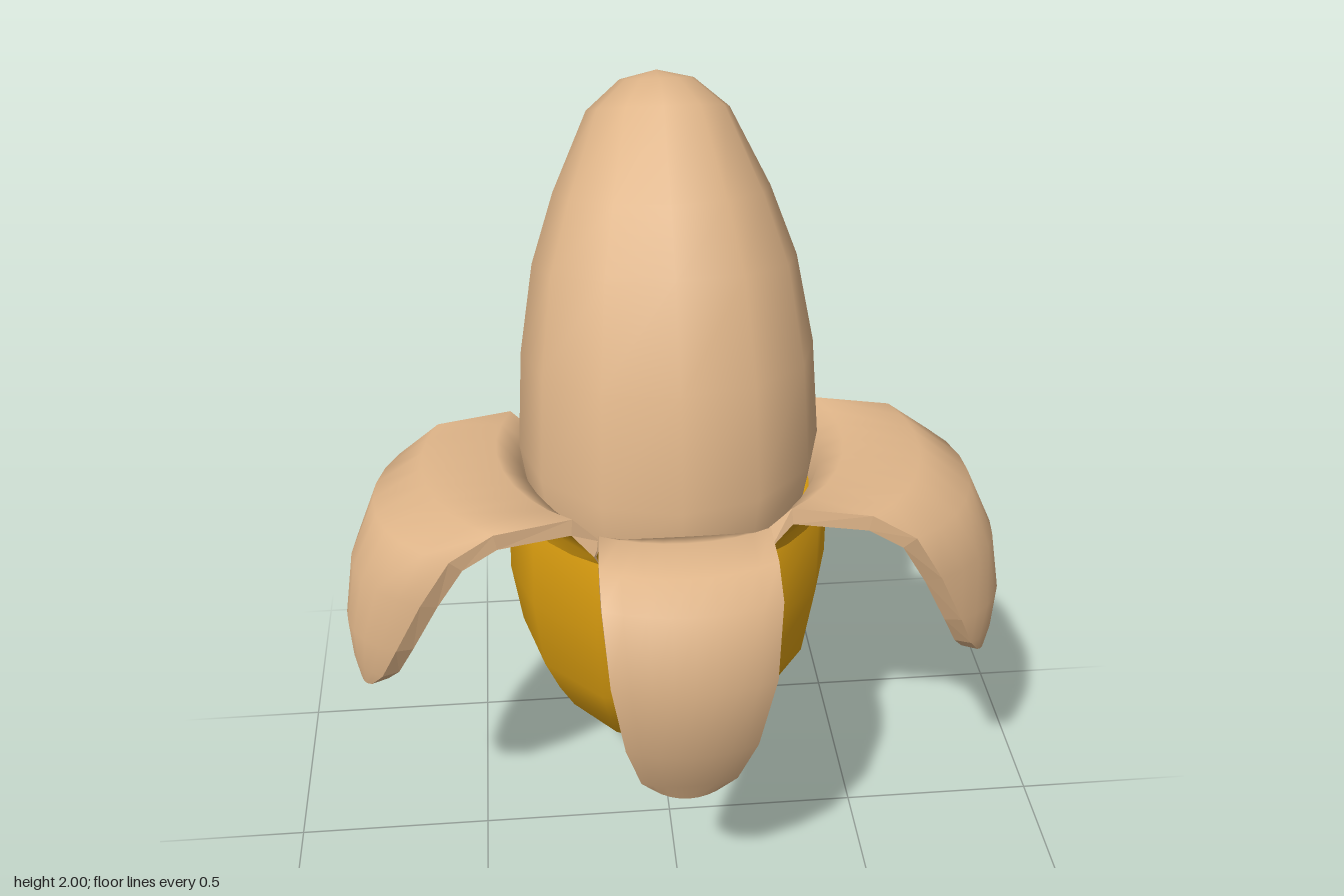
import * as THREE from 'three';

const cream = new THREE.MeshStandardMaterial({ color: 0xdfb589, side: THREE.DoubleSide });
cream.name = 'cream';
const yellow = new THREE.MeshStandardMaterial({ color: 0xdea010, side: THREE.DoubleSide });
yellow.name = 'peelYellow';
const brown = new THREE.MeshStandardMaterial({ color: 0x5e2d24 });
brown.name = 'stemBrown';

// Surface through equal rows of points
function grid(rows, flat = false, wrap = false) {
  const n = rows[0].length, index = [];
  for (let i = 0; i < rows.length - 1; i++) {
    for (let j = 0; j < (wrap ? n : n - 1); j++) {
      const k = (j + 1) % n;
      const a = i * n + j, b = i * n + k, c = (i + 1) * n + k, d = (i + 1) * n + j;
      index.push(a, b, c, a, c, d);
    }
  }
  let geo = new THREE.BufferGeometry();
  geo.setAttribute('position', new THREE.Float32BufferAttribute(rows.flat(2), 3));
  geo.setIndex(index);
  if (flat) geo = geo.toNonIndexed();
  geo.computeVertexNormals();
  return geo;
}

// Tilted oval rings, bottom to top: [frontZ, frontY, backZ, backY, halfWidth]
function loft(rings, flat = false, sides = 12) {
  return grid(rings.map(([fz, fy, bz, by, rx]) =>
    Array.from({ length: sides }, (_, j) => {
      const a = (j / sides) * Math.PI * 2, c = Math.cos(a) / 2;
      return [rx * Math.sin(a), (fy + by) / 2 + (fy - by) * c, (fz + bz) / 2 + (fz - bz) * c];
    })), flat, true);
}

function part(name, geo, mat) {
  const m = new THREE.Mesh(geo, mat);
  m.name = name;
  return m;
}

// Peel flap hanging towards +z; rows: [reach, y, halfWidth, edgeSetback, edgeRise]
function flap(name, rows, halfAngle, turn) {
  const T = 0.04, cols = 8, h = THREE.MathUtils.degToRad(halfAngle);
  const row = (r, y, w, sag, rise) => Array.from({ length: cols + 1 }, (_, j) => {
    const u = (j / cols) * 2 - 1;
    return [w * Math.sin(u * h) / Math.sin(h), y + rise * u * u,
      r - sag * (1 - Math.cos(u * h)) / (1 - Math.cos(h))];
  });
  const top = rows.map(([r, y, w, s, e = 0]) => row(r, y, w, s, e));
  const under = rows.map(([r, y, w, s, e = 0], i) => {
    const p = rows[Math.max(i - 1, 0)], q = rows[Math.min(i + 1, rows.length - 1)];
    let tr = q[0] - p[0], ty = q[1] - p[1];
    if (i === 0) { tr = 0; ty = 1; }
    const l = Math.hypot(tr, ty), nr = (ty / l) * T, ny = (-tr / l) * T;
    const k = 1 + Math.max(nr, 0) / r;
    return row(r + nr, y + ny, w * k, s * k, e);
  });
  // Outline of the flap: up one edge, across the tip, back down the other
  const outline = (g) => [...g.map((r) => r[0]), ...g[g.length - 1].slice(1, -1),
    ...g.map((r) => r[cols]).reverse()];
  const group = new THREE.Group();
  group.name = name;
  group.add(
    part(name + 'Inside', grid([...top].reverse()), cream),
    part(name + 'Skin', grid(under), yellow),
    part(name + 'Rim', grid([outline(under), outline(top)], true), cream));
  group.rotation.y = THREE.MathUtils.degToRad(turn);
  return group;
}

export function createModel() {
  const model = new THREE.Group();
  model.name = 'peeledBanana';

  model.add(part('fruit', loft([
    [0.30, 1.06, -0.31, 1.06, 0.335],
    [0.322, 1.2, -0.34, 1.2, 0.355],
    [0.265, 1.465, -0.355, 1.39, 0.34],
    [0.16, 1.69, -0.39, 1.54, 0.305],
    [0.05, 1.82, -0.43, 1.69, 0.25],
    [-0.13, 1.975, -0.452, 1.84, 0.165],
    [-0.23, 2.0, -0.415, 1.935, 0.085],
    [-0.33, 1.985, -0.33, 1.985, 0],
  ]), cream));

  model.add(part('peelBody', loft([
    [-0.25, 0.14, -0.48, 0.245, 0.12],
    [-0.215, 0.12, -0.505, 0.25, 0.165],
    [-0.02, 0.235, -0.52, 0.3, 0.235],
    [0.1, 0.345, -0.52, 0.38, 0.288],
    [0.2, 0.48, -0.49, 0.49, 0.33],
    [0.31, 0.635, -0.445, 0.65, 0.37],
    [0.342, 0.86, -0.39, 0.82, 0.393],
    [0.365, 1.08, -0.36, 1.06, 0.385],
    [0.32, 1.09, -0.32, 1.08, 0.335],
  ]), yellow));

  // Stem: flared side, bevelled end and dark centre
  const neck = [-0.24, 0.15, -0.48, 0.25, 0.13];
  const flare = [-0.25, 0.012, -0.56, 0.16, 0.172];
  const end = [-0.345, 0.002, -0.535, 0.125, 0.105];
  model.add(part('stem', loft([flare, neck]), yellow));
  model.add(part('stemEnd', loft([[-0.44, 0.064, -0.44, 0.064, 0], end, flare], true), yellow));
  model.add(part('stemCentre', loft([
    [-0.443, 0.058, -0.443, 0.058, 0],
    [-0.374, 0.014, -0.512, 0.103, 0.08],
  ]), brown));

  model.add(flap('frontFlap', [
    [0.335, 1.08, 0.168, 0.045],
    [0.355, 1.165, 0.178, 0.046, -0.03],
    [0.42, 1.192, 0.19, 0.045],
    [0.52, 1.17, 0.195, 0.045],
    [0.6, 1.125, 0.195, 0.04],
    [0.648, 0.95, 0.182, 0.04],
    [0.61, 0.74, 0.15, 0.035],
    [0.54, 0.59, 0.112, 0.02],
    [0.51, 0.525, 0.085, 0.005, 0.03],
  ], 30, 0));

  const side = [
    [0.335, 1.08, 0.237, 0.098],
    [0.355, 1.17, 0.25, 0.1, -0.04],
    [0.41, 1.205, 0.25, 0.09],
    [0.59, 1.205, 0.25, 0.09],
    [0.71, 1.15, 0.24, 0.11],
    [0.775, 1.02, 0.2, 0.11],
    [0.802, 0.87, 0.15, 0.08],
    [0.798, 0.77, 0.105, 0.045],
    [0.787, 0.7, 0.055, 0.015, 0.015],
  ];
  model.add(flap('leftFlap', side, 45, 75), flap('rightFlap', side, 45, -75));

  model.add(flap('backFlap', [
    [0.325, 1.08, 0.281, 0.162],
    [0.35, 1.18, 0.303, 0.17, -0.05],
    [0.4, 1.218, 0.318, 0.13],
    [0.5, 1.22, 0.32, 0.13],
    [0.615, 1.1, 0.285, 0.12],
    [0.64, 0.98, 0.235, 0.1],
    [0.65, 0.86, 0.18, 0.075],
    [0.642, 0.75, 0.125, 0.045],
    [0.63, 0.67, 0.06, 0.015, 0.015],
  ], 60, 180));

  return model;
}
